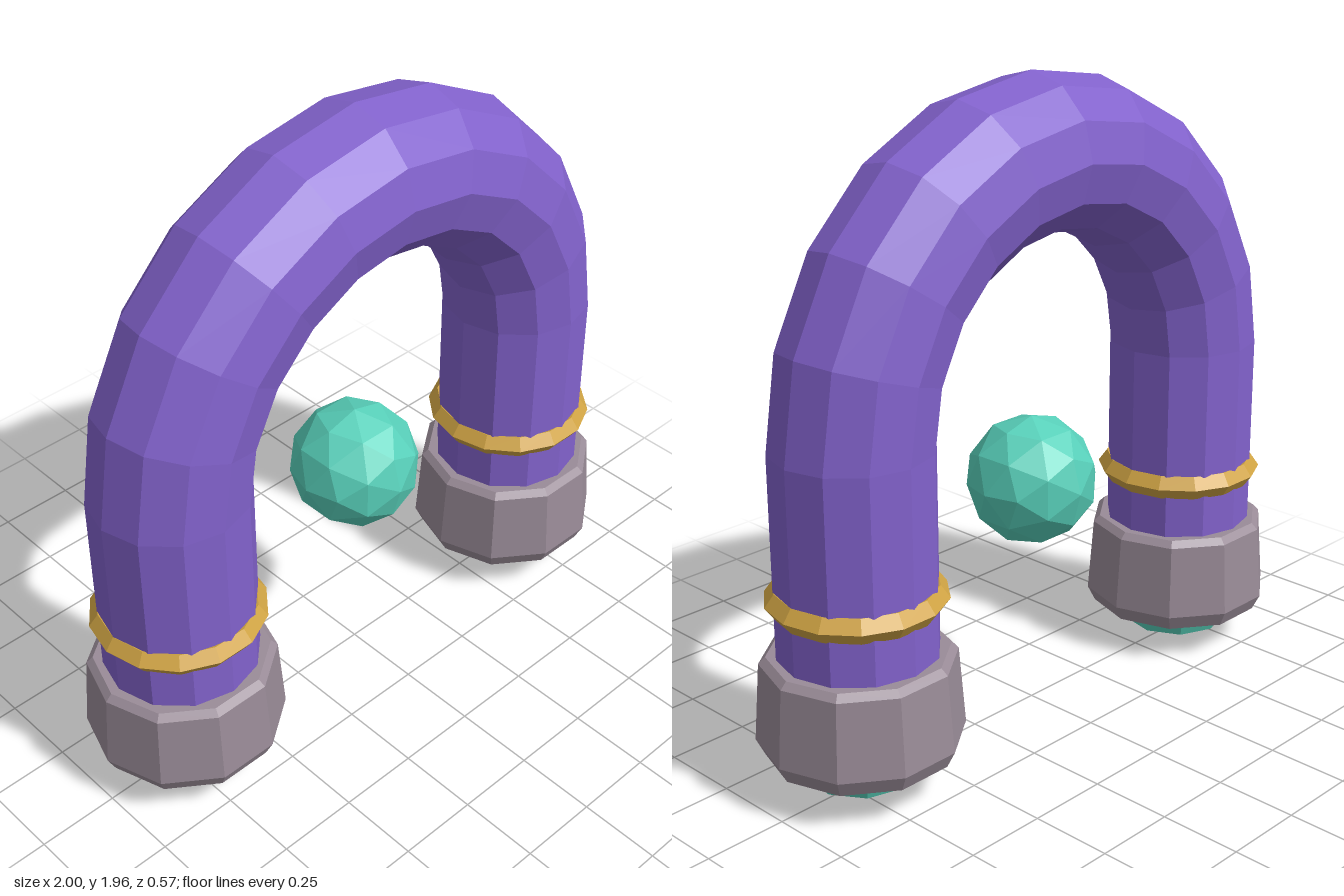
import * as THREE from 'three';

const LEG_X = 0.7, ARC_Y = 1.03, LEG = 0.66;

// Upside-down U: straight leg, half circle, straight leg
class HorseshoeCurve extends THREE.Curve {
  getPoint(t, target = new THREE.Vector3()) {
    const arc = Math.PI * LEG_X;
    const d = t * (arc + 2 * LEG);
    if (d < LEG) return target.set(-LEG_X, ARC_Y - LEG + d, 0);
    if (d > LEG + arc) return target.set(LEG_X, ARC_Y - (d - LEG - arc), 0);
    const a = Math.PI - (d - LEG) / LEG_X;
    return target.set(LEG_X * Math.cos(a), ARC_Y + LEG_X * Math.sin(a), 0);
  }
}

function material(name, color) {
  const m = new THREE.MeshStandardMaterial({ color, flatShading: true });
  m.name = name;
  return m;
}

function lathe(points, sides) {
  return new THREE.LatheGeometry(points.map(([r, y]) => new THREE.Vector2(r, y)), sides);
}

export function createModel() {
  const group = new THREE.Group();
  group.name = 'horseshoeMagnet';
  const purple = material('purple', 0x8262cc);
  const gold = material('gold', 0xd0a444);
  const grey = material('warmGrey', 0x9a8c98);
  const teal = material('teal', 0x58d0ba);

  const add = (parent, name, geometry, mat, x = 0, y = 0) => {
    const mesh = new THREE.Mesh(geometry, mat);
    mesh.name = name;
    mesh.position.set(x, y, 0);
    parent.add(mesh);
    return mesh;
  };

  // Bent body
  add(group, 'body', new THREE.TubeGeometry(new HorseshoeCurve(), 16, 0.234, 12, false), purple);

  // Floating ball between the legs
  add(group, 'floatingBall', new THREE.IcosahedronGeometry(0.2, 1), teal, 0, 0.74);

  // Pole ends: faceted cap, gold ring and gem tip
  const capShape = lathe([[0, 0.12], [0.275, 0.12], [0.3, 0.17], [0.282, 0.405], [0.262, 0.425], [0, 0.425]], 10);
  const tipShape = lathe([[0, 0.005], [0.09, 0.012], [0.165, 0.045], [0.19, 0.1], [0.18, 0.14], [0, 0.14]], 9);
  const ringShape = new THREE.TorusGeometry(0.222, 0.04, 5, 14);
  ringShape.rotateX(Math.PI / 2);

  for (const side of [1, -1]) {
    const pole = new THREE.Group();
    pole.name = side > 0 ? 'leftPole' : 'rightPole';
    pole.position.x = side * LEG_X;
    add(pole, 'cap', capShape, grey).rotation.y = side * Math.PI / 2;
    add(pole, 'gemTip', tipShape, teal).rotation.y = side * 0.4;
    add(pole, 'ring', ringShape, gold, 0, 0.595);
    group.add(pole);
  }
  return group;
}
